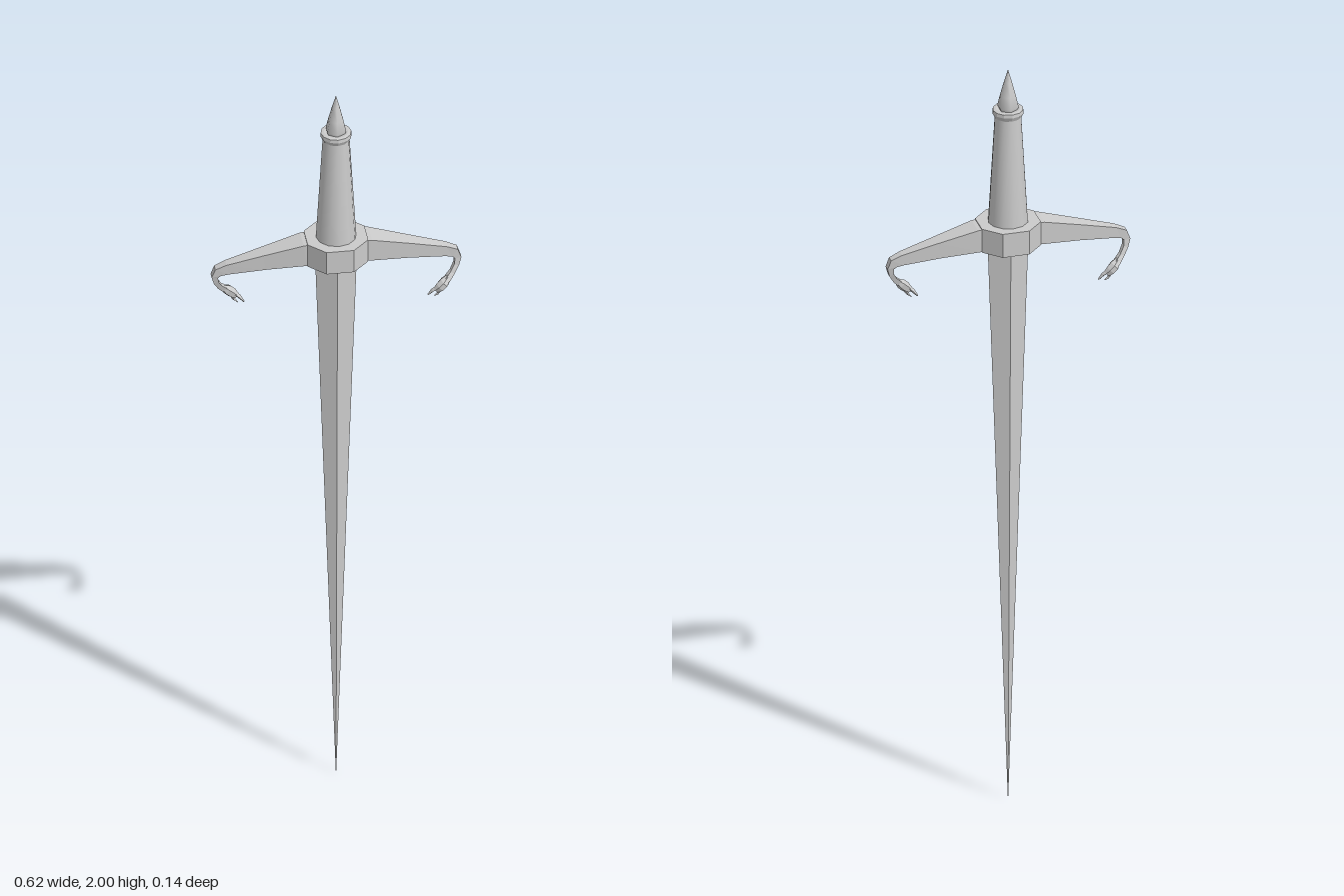
import * as THREE from 'three';

const flat = new THREE.MeshStandardMaterial({ color: 0xcccccc, flatShading: true, side: THREE.DoubleSide });
const smooth = new THREE.MeshStandardMaterial({ color: 0xcccccc, side: THREE.DoubleSide });

function add(parent, name, geometry, material = flat) {
  const mesh = new THREE.Mesh(geometry, material);
  mesh.name = name;
  parent.add(mesh);
  return mesh;
}

// Skins sections [x, y, z, halfHeight, halfWidth] that follow a path in the xy plane.
function loft(sections, sides, turn = 0) {
  const pos = [], index = [];
  sections.forEach(([x, y, z, h, w], i) => {
    const a = sections[Math.max(i - 1, 0)], b = sections[Math.min(i + 1, sections.length - 1)];
    const t = new THREE.Vector2(b[0] - a[0], b[1] - a[1]).normalize();
    for (let k = 0; k < sides; k++) {
      const angle = turn + (k / sides) * Math.PI * 2;
      const u = Math.cos(angle) * h, v = Math.sin(angle) * w;
      pos.push(x - t.y * u, y + t.x * u, z + v);
    }
  });
  for (let i = 0; i < sections.length - 1; i++) {
    for (let k = 0; k < sides; k++) {
      const a = i * sides + k, b = i * sides + ((k + 1) % sides);
      index.push(a, b, b + sides, a, b + sides, a + sides);
    }
  }
  const last = (sections.length - 1) * sides;
  for (let k = 1; k < sides - 1; k++) index.push(0, k + 1, k, last, last + k, last + k + 1);
  const g = new THREE.BufferGeometry();
  g.setAttribute('position', new THREE.Float32BufferAttribute(pos, 3));
  g.setIndex(index);
  g.computeVertexNormals();
  return g;
}

// One arm of the guard: tapering bar, curled neck and an open-jawed serpent head
function createArm(name) {
  const arm = new THREE.Group();
  arm.name = name;
  const r = Math.SQRT2; // turns half sizes into corner radii of a four-sided section
  const bar = [
    [0.06, 1.555, 0, 0.031, 0.031],
    [0.08, 1.554, 0, 0.03, 0.03],
    [0.18, 1.537, 0, 0.021, 0.02],
    [0.27, 1.52, 0, 0.014, 0.012],
    [0.293, 1.512, 0, 0.012, 0.01],
    [0.301, 1.497, 0.001, 0.008, 0.009],
    [0.297, 1.478, 0.004, 0.006, 0.008],
    [0.286, 1.459, 0.011, 0.006, 0.007],
    [0.272, 1.444, 0.02, 0.007, 0.008],
  ].map(([x, y, z, h, w]) => [x, y, z, h * r, w * r]);
  add(arm, 'curledBar', loft(bar, 4, Math.PI / 4));
  add(arm, 'serpentHead', loft([
    [0.277, 1.45, 0.018, 0.007, 0.007],
    [0.265, 1.438, 0.024, 0.013, 0.016],
    [0.254, 1.427, 0.026, 0.013, 0.014],
    [0.244, 1.418, 0.025, 0.009, 0.009],
  ], 6));
  add(arm, 'upperJaw', loft([
    [0.25, 1.427, 0.025, 0.006, 0.01],
    [0.236, 1.416, 0.022, 0.005, 0.007],
    [0.225, 1.402, 0.019, 0.002, 0.003],
  ], 4));
  add(arm, 'lowerJaw', loft([
    [0.254, 1.418, 0.025, 0.005, 0.009],
    [0.248, 1.407, 0.024, 0.003, 0.006],
    [0.24, 1.4, 0.022, 0.001, 0.002],
  ], 4));
  return arm;
}

export function createModel() {
  const model = new THREE.Group();
  model.name = 'dagger';

  // Diamond-section blade, point down
  const blade = add(model, 'blade', new THREE.CylinderGeometry(1, 0.008, 1.53, 4));
  blade.scale.set(0.052, 1, 0.026);
  blade.position.y = 0.765;

  // Octagonal guard block
  const outline = [[0.034, 0.072], [0.075, 0.031], [0.075, -0.031], [0.034, -0.072],
    [-0.034, -0.072], [-0.075, -0.031], [-0.075, 0.031], [-0.034, 0.072]];
  const block = new THREE.ExtrudeGeometry(
    new THREE.Shape(outline.map(([x, y]) => new THREE.Vector2(x, y))),
    { depth: 0.064, bevelEnabled: false });
  block.rotateX(-Math.PI / 2);
  add(model, 'guardBlock', block).position.y = 1.523;

  // The two arms are half a turn apart
  model.add(createArm('leftArm'));
  const rightArm = createArm('rightArm');
  rightArm.rotation.y = Math.PI;
  model.add(rightArm);

  // Tapered grip
  add(model, 'grip', new THREE.CylinderGeometry(0.033, 0.05, 0.293, 12, 1, true), smooth).position.y = 1.7335;

  // Flared collar
  const collar = [[0.033, 1.872], [0.039, 1.884], [0.038, 1.893], [0.03, 1.894], [0, 1.888]];
  add(model, 'collar', new THREE.LatheGeometry(collar.map(([x, y]) => new THREE.Vector2(x, y)), 12));

  // Pointed pommel
  const spike = [[0.02, 1.885], [0.027, 1.9], [0.02, 1.93], [0.01, 1.967], [0, 2]];
  add(model, 'pommelSpike', new THREE.LatheGeometry(spike.map(([x, y]) => new THREE.Vector2(x, y)), 6), smooth);

  return model;
}
